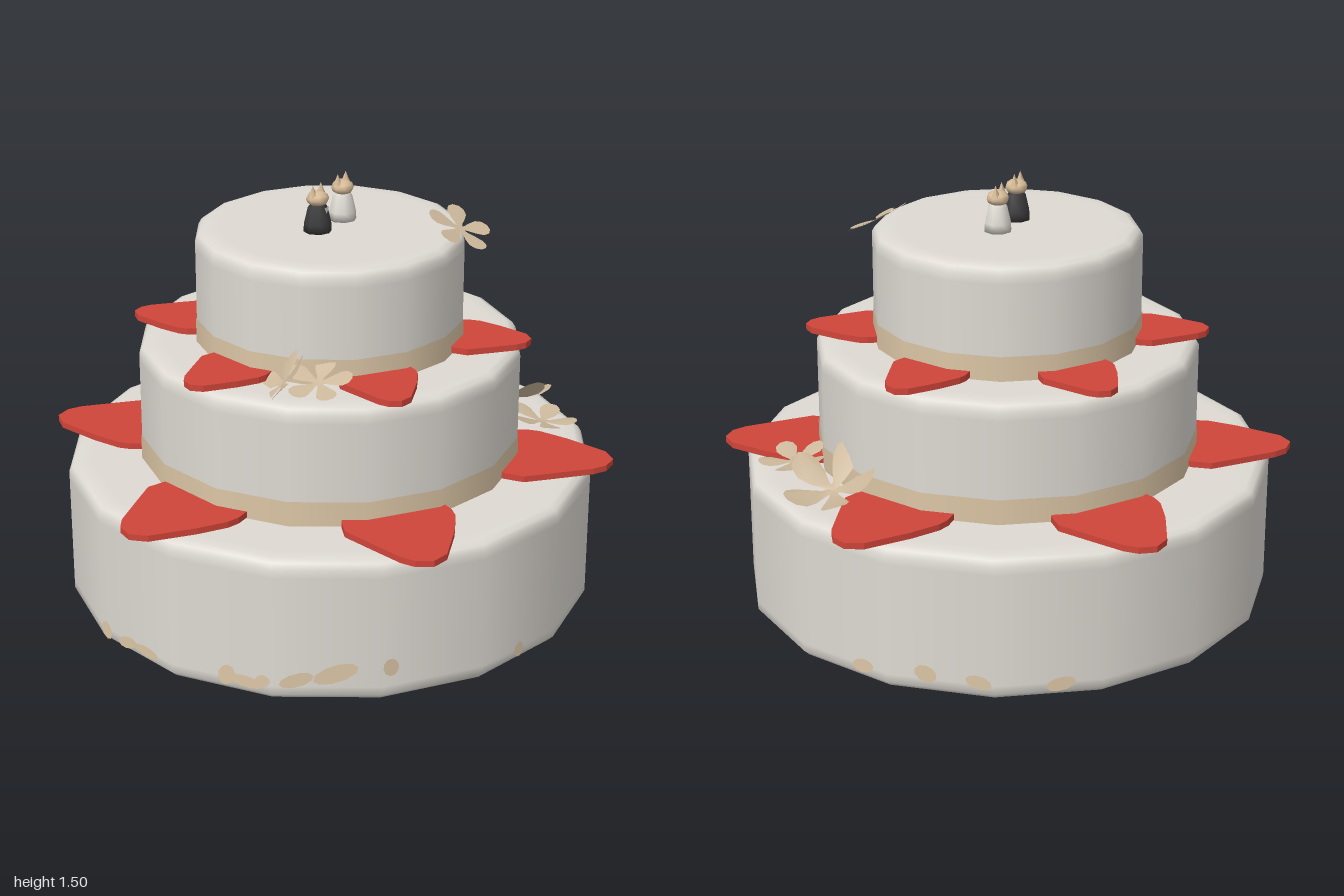
import * as THREE from 'three';

const material = (name, color, side = THREE.FrontSide) => {
  const m = new THREE.MeshStandardMaterial({ color, side });
  m.name = name;
  return m;
};

export function createModel() {
  const model = new THREE.Group();
  model.name = 'tieredCake';
  const frosting = material('frosting', 0xdedad3);
  const red = material('redDecoration', 0xd0453a);
  const tan = material('tanIcing', 0xdcc6a6);
  const petalTan = material('flowerTan', 0xcdb99c, THREE.DoubleSide);
  const suit = material('darkSuit', 0x3a393b);
  const skin = material('figureHead', 0xd8bc98);
  const SIDES = 16;

  const add = (parent, name, geometry, mat, x = 0, y = 0, z = 0) => {
    const mesh = new THREE.Mesh(geometry, mat);
    mesh.name = name;
    mesh.position.set(x, y, z);
    parent.add(mesh);
    return mesh;
  };
  const lathe = (pts, n = SIDES) =>
    new THREE.LatheGeometry(pts.map(([x, y]) => new THREE.Vector2(x, y)), n);

  // Cake tiers with softened rims; extra rings keep walls and tops flat
  const tier = (name, r, y0, y1) => add(model, name, lathe([
    [0, y0], [r - 0.05, y0], [r - 0.02, y0], [r, y0 + 0.02], [r, y0 + 0.05],
    [r, y1 - 0.06], [r, y1 - 0.03], [r - 0.012, y1 - 0.01], [r - 0.035, y1],
    [r - 0.08, y1], [0, y1],
  ]), frosting);
  tier('bottomTier', 0.93, 0, 0.51);
  tier('middleTier', 0.67, 0.5, 0.937);
  tier('topTier', 0.467, 0.93, 1.335);

  // Icing bands around the foot of the upper tiers
  add(model, 'middleBand', lathe([[0.673, 0.511], [0.673, 0.6]]), tan);
  add(model, 'topBand', lathe([[0.47, 0.938], [0.47, 1.025]]), tan);

  // Red rounded leaves, six on each ledge
  const leafOutline = [
    [-0.05, 0.55], [-0.2, 0.57], [-0.255, 0.62], [-0.277, 0.69], [-0.24, 0.8],
    [-0.195, 0.93], [-0.165, 0.975], [-0.11, 1], [-0.05, 0.975], [0.05, 0.84],
    [0.105, 0.745], [0.115, 0.7], [0.11, 0.64], [0.08, 0.57],
  ];
  const leafRing = (name, scale, top) => {
    const shape = new THREE.Shape(
      leafOutline.map(([x, z]) => new THREE.Vector2(x * scale, z * scale)));
    const geo = new THREE.ExtrudeGeometry(shape, { depth: 0.022, bevelEnabled: false });
    geo.rotateX(Math.PI / 2);
    for (let i = 0; i < 6; i++) {
      add(model, name, geo, red, 0, top, 0).rotation.y = i * Math.PI / 3;
    }
  };
  leafRing('bottomLeaf', 1, 0.536);
  leafRing('middleLeaf', 0.7, 0.967);

  // Five-petalled flowers with bent petals
  const flower = (pos, normal, R, cup, spin) => {
    const group = new THREE.Group();
    group.name = 'flower';
    const half = [[0.06, 0], [0.1, 0.2], [0.22, 0.45], [0.3, 0.68], [0.25, 0.87], [0.1, 0.98]];
    const outline = [...half, ...half.map(([x, y]) => [-x, y]).reverse()];
    const geo = new THREE.ShapeGeometry(new THREE.Shape(
      outline.map(([x, y]) => new THREE.Vector2(x * R, y * R))));
    const p = geo.attributes.position;
    for (let i = 0; i < p.count; i++) p.setZ(i, cup * p.getY(i) ** 2 / R);
    geo.computeVertexNormals();
    for (let i = 0; i < 5; i++) {
      add(group, 'flowerPetal', geo, petalTan).rotation.z = spin + i * Math.PI * 0.4;
    }
    group.position.set(...pos);
    group.quaternion.setFromUnitVectors(
      new THREE.Vector3(0, 0, 1), new THREE.Vector3(...normal).normalize());
    model.add(group);
  };
  flower([0.17, 0.97, 0.52], [-0.55, 0.7, 0.45], 0.13, 0.25, 0.5);
  flower([0.27, 0.975, 0.46], [0.1, 0.9, 0.3], 0.115, 0.15, 0.2);
  flower([0.34, 0.54, -0.66], [0, 0.85, -0.4], 0.165, 0.5, 0.6);
  flower([0.57, 0.55, -0.52], [0.1, 1, -0.1], 0.125, 0.2, 0.1);
  flower([0.41, 1.35, -0.18], [0.45, 0.85, 0], 0.12, 0.08, 0.3);

  // Painted icing patches: facet index, offset along it, height, half sizes, tilt
  const apothem = 0.93 * Math.cos(Math.PI / SIDES);
  const disc = new THREE.CircleGeometry(1, 10);
  [
    [-1, -0.16, 0.045, 0.025, 0.034, 0.3], [-1, -0.05, 0.04, 0.05, 0.022, 0.3],
    [-1, 0.05, 0.045, 0.06, 0.02, 0], [0, 0.02, 0.06, 0.03, 0.04, -0.4],
    [0, 0.09, 0.05, 0.06, 0.022, -0.1], [0, 0.15, 0.065, 0.028, 0.022, 0.4],
    [1, -0.1, 0.075, 0.06, 0.025, 0.3], [1, 0.03, 0.1, 0.08, 0.032, 0.35],
    [2, -0.15, 0.12, 0.028, 0.033, 0.2], [3, 0, 0.045, 0.022, 0.028, 0],
    [7, 0.08, 0.05, 0.045, 0.025, 0.2], [8, -0.05, 0.07, 0.04, 0.03, -0.4],
    [8, 0.13, 0.06, 0.045, 0.025, -0.2], [9, 0.04, 0.045, 0.05, 0.025, 0.2],
  ].forEach(([k, u, y, w, h, tilt]) => {
    const facet = new THREE.Group();
    facet.name = 'icingFacet';
    facet.rotation.y = (k + 0.5) * 2 * Math.PI / SIDES;
    const patch = add(facet, 'icingPatch', disc, tan, u, y, apothem + 0.003);
    patch.scale.set(w, h, 1);
    patch.rotation.z = tilt;
    model.add(facet);
  });

  // Pair of small topper figures facing +x
  const figure = (name, z, bodyMat) => {
    const g = new THREE.Group();
    g.name = name;
    g.position.set(0, 1.335, z);
    add(g, 'body', lathe([[0, 0], [0.049, 0], [0.047, 0.03], [0.034, 0.085], [0.02, 0.105], [0, 0.108]], 8), bodyMat);
    const head = add(g, 'head', new THREE.SphereGeometry(0.04, 8, 6), skin, 0, 0.115, 0);
    head.scale.set(1, 0.68, 1);
    for (const s of [-1, 1]) {
      add(g, 'ear', new THREE.ConeGeometry(0.017, 0.042, 5), skin, -0.003, 0.145, s * 0.024);
    }
    model.add(g);
    return g;
  };
  const groom = figure('darkFigure', 0.075, suit);
  figure('lightFigure', -0.075, frosting);

  // Pale shirt front on the dark figure
  const shirt = add(groom, 'shirtFront', new THREE.CircleGeometry(0.016, 3, -Math.PI / 2), frosting, 0.038, 0.082, 0);
  shirt.rotation.y = Math.PI / 2;

  return model;
}
